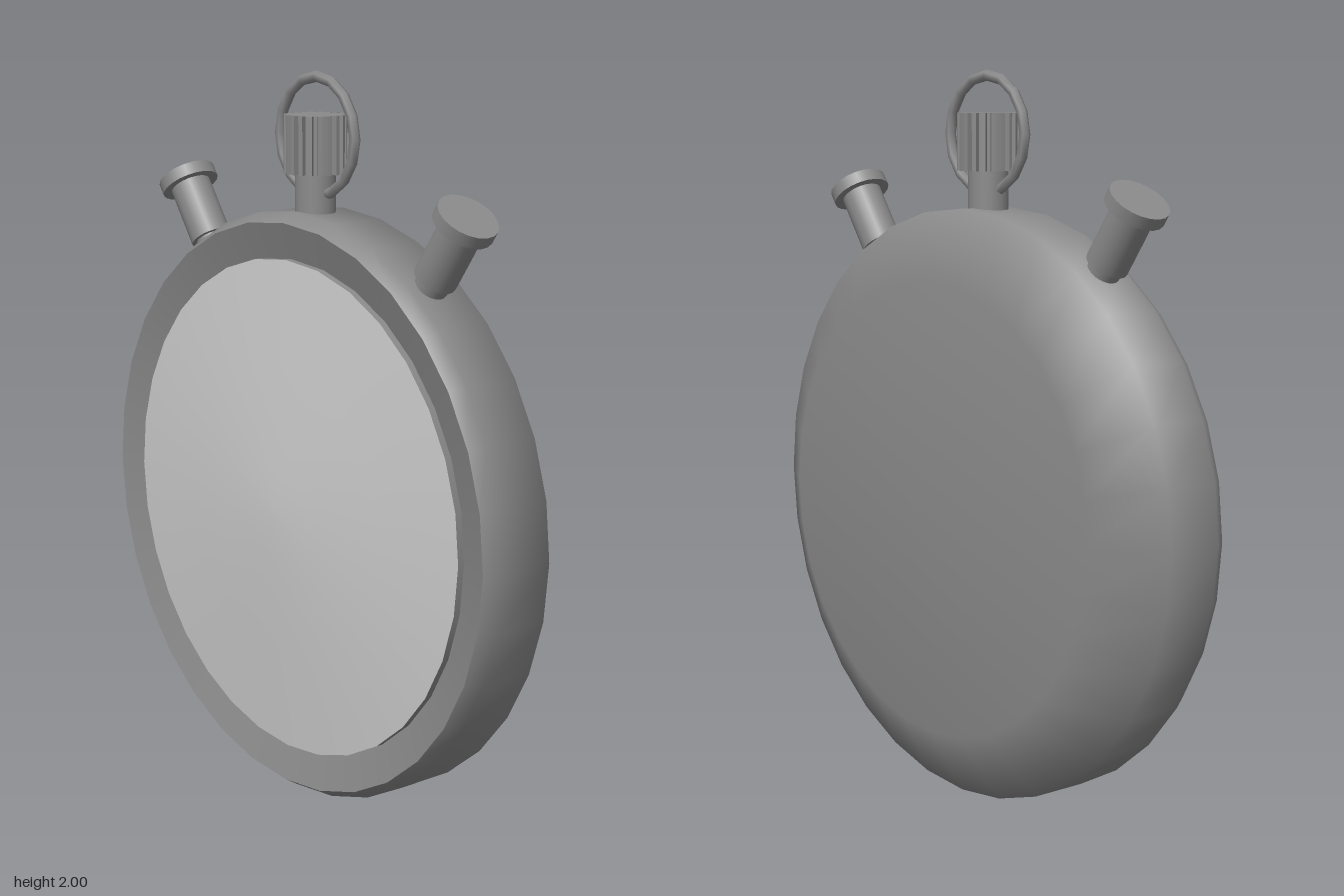
import * as THREE from 'three';

const CY = 0.815; // centre height of the round case
const CZ = 0.028; // depth of the crown, ring and pushers
const SEGMENTS = 32;
const metal = new THREE.MeshStandardMaterial({ color: 0x8a8a8a });
const glass = new THREE.MeshStandardMaterial({ color: 0xcccccc });

function part(name, geometry, parent, material = metal) {
  const mesh = new THREE.Mesh(geometry, material);
  mesh.name = name;
  parent.add(mesh);
  return mesh;
}

// Turned profile of [radius, depth] pairs, its axis laid along z
function turned(points) {
  const profile = points.map(([r, z]) => new THREE.Vector2(r, z));
  return new THREE.LatheGeometry(profile, SEGMENTS).rotateX(Math.PI / 2);
}

// Upright cylinder between two heights
function post(radius, y0, y1) {
  return new THREE.CylinderGeometry(radius, radius, y1 - y0, 20).translate(0, (y0 + y1) / 2, 0);
}

// Knurled crown outline with square teeth
function crownShape(teeth, outer, inner) {
  const shape = new THREE.Shape();
  for (let i = 0; i < teeth; i++) {
    [[0, inner], [0.1, outer], [0.5, outer], [0.6, inner]].forEach(([t, r], k) => {
      const a = ((i + t) / teeth) * Math.PI * 2;
      const x = Math.cos(a) * r, y = Math.sin(a) * r;
      if (i === 0 && k === 0) shape.moveTo(x, y);
      else shape.lineTo(x, y);
    });
  }
  shape.closePath();
  return shape;
}

export function createModel() {
  const model = new THREE.Group();
  model.name = 'stopwatch';

  // Round case: flat back, chamfer, side wall and recessed bezel
  const body = new THREE.Group();
  body.name = 'body';
  body.position.y = CY;
  model.add(body);
  part('case', turned([[0, -0.175], [0.625, -0.175], [0.815, -0.065], [0.815, 0.1], [0.79, 0.14]]), body);
  part('bezel', turned([[0.79, 0.14], [0.69, 0.11]]), body);

  // Shallow domed glass with a thin upright edge
  part('glassEdge', turned([[0.69, 0.105], [0.69, 0.13]]), body);
  part('glass', turned([[0.69, 0.13], [0.4, 0.155], [0.13, 0.177], [0, 0.179]]), body, glass);

  // Winding stem, knurled crown and hanging ring
  const winder = new THREE.Group();
  winder.name = 'winder';
  winder.position.z = CZ;
  model.add(winder);
  part('stem', post(0.055, 1.58, 1.74), winder);
  const crown = new THREE.ExtrudeGeometry(crownShape(20, 0.085, 0.07), { depth: 0.155, bevelEnabled: false });
  crown.rotateX(-Math.PI / 2).translate(0, 1.73, 0);
  part('crown', crown, winder);
  const ring = part('ring', new THREE.TorusGeometry(0.157, 0.015, 6, 16), winder);
  ring.position.set(0.006, 1.828, 0);

  // Pair of push buttons pointing outward from the case centre
  for (const side of [1, -1]) {
    const pusher = new THREE.Group();
    pusher.name = side > 0 ? 'leftPusher' : 'rightPusher';
    pusher.position.set(0.003, CY, CZ);
    pusher.rotation.z = -side * 0.606;
    model.add(pusher);
    part('neck', post(0.045, 0.77, 0.85), pusher);
    part('shaft', post(0.058, 0.838, 1.015), pusher);
    part('head', post(0.083, 1.01, 1.045), pusher);
  }

  return model;
}
